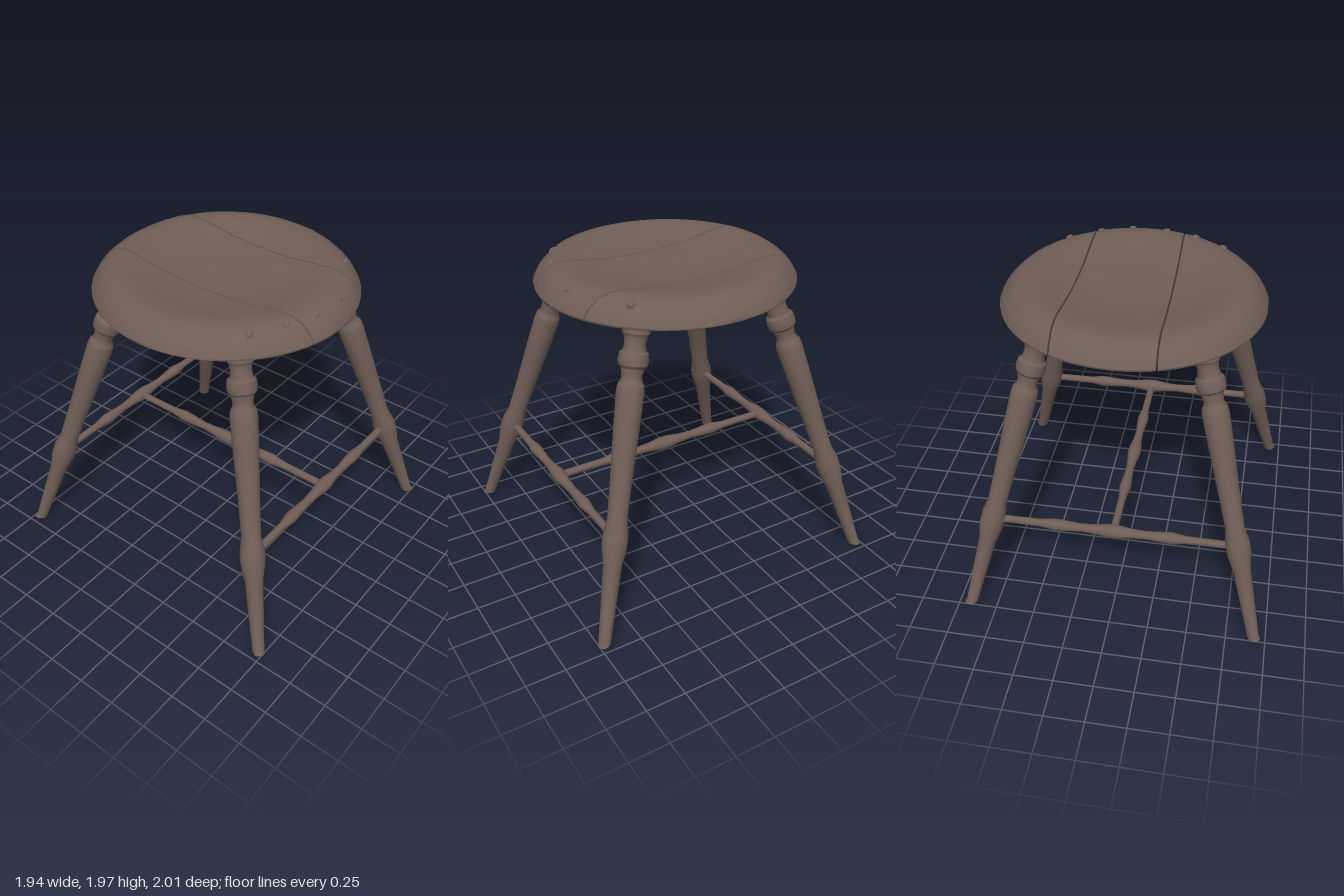
import * as THREE from 'three';
import { toCreasedNormals } from 'three/addons/utils/BufferGeometryUtils.js';

const wood = new THREE.MeshStandardMaterial({ color: 0x6f5e56 });
wood.name = 'dark brown wood';

const V = (x, y, z) => new THREE.Vector3(x, y, z);

function addMesh(parent, name, geometry) {
  const mesh = new THREE.Mesh(geometry, wood);
  mesh.name = name;
  parent.add(mesh);
  return mesh;
}

// Turned piece between two points; profile is [radius, distance 0..1 along the axis]
function turned(from, to, profile, sides) {
  const axis = to.clone().sub(from);
  const length = axis.length();
  const points = profile.map(([r, t]) => new THREE.Vector2(r, t * length));
  const g = new THREE.LatheGeometry(points, sides);
  g.applyQuaternion(new THREE.Quaternion().setFromUnitVectors(V(0, 1, 0), axis.normalize()));
  g.translate(from.x, from.y, from.z);
  return g;
}

// Seat cross-section as height over radius
const R = 0.815;
const topProfile = [[0, 1.91], [0.25, 1.914], [0.4, 1.928], [0.52, 1.952], [0.6, 1.966],
  [0.67, 1.968], [0.735, 1.945], [0.79, 1.89], [R, 1.845]];
const bottomProfile = [[0, 1.795], [0.62, 1.795], [0.65, 1.81], [0.79, 1.82], [R, 1.835]];

function heightAt(profile, r) {
  for (let i = 1; i < profile.length; i++) {
    const [r0, y0] = profile[i - 1], [r1, y1] = profile[i];
    if (r <= r1) return y0 + (y1 - y0) * (r - r0) / (r1 - r0);
  }
  return profile[profile.length - 1][1];
}
const tilt = (y, z) => y - 0.01 * z;

// One seat board between x0 and x1; slant0 and slant1 skew its two long edges
function boardGeometry(x0, x1, slant0, slant1) {
  const slices = 18, n = 64;
  const a0 = Math.asin(x0 / R), a1 = Math.asin(x1 / R);
  const pos = [], index = [];
  for (let j = 0; j <= slices; j++) {
    const u = j / slices;
    const x = R * Math.sin(a0 + (a1 - a0) * u);
    const zMax = Math.sqrt(R * R - x * x);
    for (let k = 0; k < n; k++) {
      const a = k / n * Math.PI * 2;
      const z = zMax * Math.cos(a);
      const y = heightAt(k <= n / 2 ? topProfile : bottomProfile, Math.hypot(x, z));
      pos.push(x + z * (slant0 * (1 - u) + slant1 * u), tilt(y, z), z);
    }
  }
  for (let j = 0; j < slices; j++) {
    for (let k = 0; k < n; k++) {
      const k1 = (k + 1) % n;
      const a = j * n + k, b = a + n, c = j * n + k1, d = c + n;
      index.push(a, b, c, b, d, c);
    }
  }
  // flat sawn sides
  const e = slices * n;
  for (let k = 0; k < n / 2; k++) {
    const p = k, q = k + 1, r = n - k - 1, s = (n - k) % n;
    index.push(p, q, r, p, r, s);
    index.push(e + p, e + r, e + q, e + p, e + s, e + r);
  }
  const g = new THREE.BufferGeometry();
  g.setAttribute('position', new THREE.Float32BufferAttribute(pos, 3));
  g.setIndex(index);
  return toCreasedNormals(g, 0.6);
}

// Leg radius over height above the floor
const legProfile = [[0, -0.04], [0.036, -0.04], [0.038, 0], [0.057, 0.46], [0.077, 0.57],
  [0.077, 0.64], [0.06, 0.73], [0.066, 0.95], [0.078, 1.25], [0.083, 1.44], [0.078, 1.475],
  [0.064, 1.495], [0.06, 1.52], [0.07, 1.565], [0.086, 1.58], [0.091, 1.61], [0.086, 1.645],
  [0.068, 1.66], [0.063, 1.7], [0.069, 1.735], [0.08, 1.75], [0.08, 1.85], [0, 1.85]];

function legGeometry(sx, sz) {
  const g = turned(V(sx * 0.923, 0, sz * 0.96), V(sx * 0.485, 1.8, sz * 0.465),
    legProfile.map(([r, y]) => [r, y / 1.8]), 16);
  // foot sawn level with the floor
  const p = g.attributes.position;
  for (let i = 0; i < p.count; i++) p.setY(i, Math.max(0, p.getY(i)));
  return toCreasedNormals(g, 0.5);
}

// Stretcher with a swelling at the middle and one on each side
const halfStretcher = [[0.024, 0], [0.025, 0.2], [0.031, 0.23], [0.039, 0.262], [0.036, 0.29],
  [0.027, 0.37], [0.032, 0.43], [0.044, 0.48]];
const stretcherProfile = [...halfStretcher,
  ...halfStretcher.slice().reverse().map(([r, t]) => [r, 1 - t])];
const stretcher = (from, to) => turned(from, to, stretcherProfile, 12);

export function createModel() {
  const model = new THREE.Group();
  model.name = 'stool';

  // seat of three boards with narrow gaps
  const seat = new THREE.Group();
  seat.name = 'seat';
  model.add(seat);
  addMesh(seat, 'rightBoard', boardGeometry(-0.812, -0.241, 0, 0.02));
  addMesh(seat, 'middleBoard', boardGeometry(-0.23, 0.352, 0.02, -0.008));
  addMesh(seat, 'leftBoard', boardGeometry(0.363, 0.812, -0.008, 0));

  // square pegs along the front rim
  const pegs = [[-0.49, 0.53], [-0.3, 0.64], [-0.1, 0.71], [0.13, 0.72], [0.33, 0.64], [0.52, 0.52]];
  pegs.forEach(([x, z], i) => {
    const r = Math.hypot(x, z);
    const slope = (heightAt(topProfile, r - 0.02) - heightAt(topProfile, r + 0.02)) / 0.04;
    const g = new THREE.CylinderGeometry(0.018, 0.03, 0.016, 5).toNonIndexed();
    g.computeVertexNormals();
    const peg = addMesh(seat, 'peg', g);
    peg.quaternion.setFromUnitVectors(V(0, 1, 0), V(x / r * slope, 1, z / r * slope).normalize());
    peg.rotateY(i * 1.3);
    peg.position.set(x, tilt(heightAt(topProfile, r), z) + 0.002, z);
  });

  // splayed legs
  for (const sx of [-1, 1]) {
    for (const sz of [-1, 1]) {
      addMesh(model, (sz > 0 ? 'front' : 'back') + (sx > 0 ? 'Left' : 'Right') + 'Leg', legGeometry(sx, sz));
    }
  }

  // H-shaped stretchers
  const y = 0.61, z = 0.79;
  addMesh(model, 'frontStretcher', stretcher(V(-0.78, y, z), V(0.78, y, z)));
  addMesh(model, 'backStretcher', stretcher(V(-0.78, y, -z), V(0.78, y, -z)));
  addMesh(model, 'crossStretcher', stretcher(V(0, y, -z), V(0, y, z)));

  return model;
}
